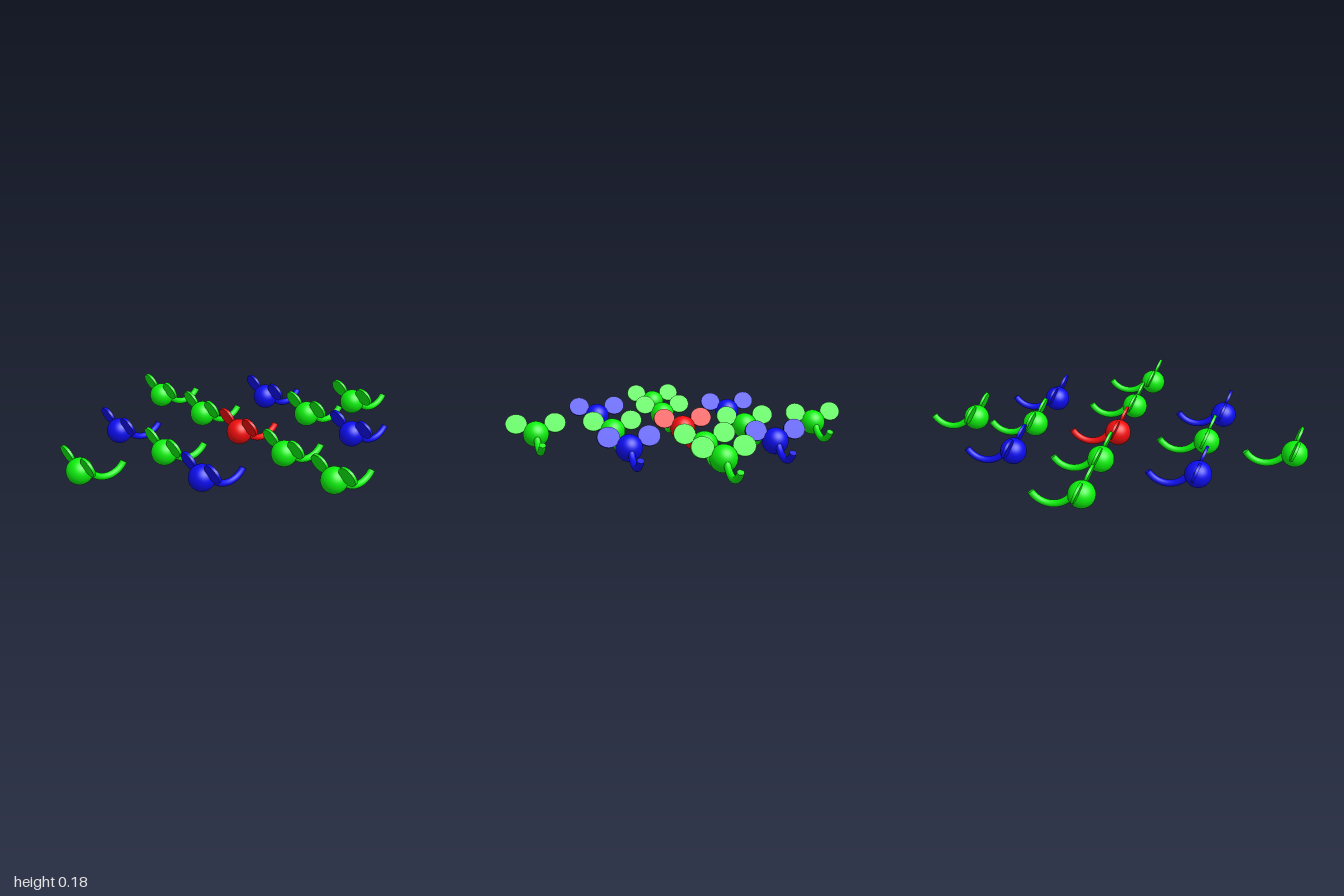
import * as THREE from 'three';

const R = 0.065;

// Tail centreline: circular arc dipping to the ground and curling up at the tip
class TailArc extends THREE.Curve {
  getPoint(t, target = new THREE.Vector3()) {
    const a = (t * 2 - 1) * 1.0;
    return target.set(0.145 + 0.113 * Math.sin(a), 0.13 - 0.08 - 0.113 * Math.cos(a), -0.005 * t);
  }
}

export function createModel() {
  const model = new THREE.Group();
  model.name = 'creatureFormation';

  const green = new THREE.MeshStandardMaterial({ color: 0x0cf00c });
  const blue = new THREE.MeshStandardMaterial({ color: 0x0c0cf0 });
  const red = new THREE.MeshStandardMaterial({ color: 0xf00c0c });

  // Shared geometries
  const curve = new TailArc();
  const bodyGeo = new THREE.SphereGeometry(R, 32, 20);
  const earGeo = new THREE.CylinderGeometry(0.054, 0.054, 0.014, 32);
  const tailGeo = new THREE.TubeGeometry(curve, 24, 0.017, 14);
  const capGeo = new THREE.CircleGeometry(0.017, 14);

  function creature(material) {
    const g = new THREE.Group();
    const add = (geo, name) => {
      const m = new THREE.Mesh(geo, material);
      m.name = name;
      g.add(m);
      return m;
    };
    add(bodyGeo, 'body');
    // Thin round ears on both sides, leaning back
    for (const s of [1, -1]) {
      const ear = add(earGeo, s > 0 ? 'frontEar' : 'rearEar');
      ear.position.set(-0.006, 0.053, s * 0.097);
      ear.rotation.z = Math.PI / 2 + 0.37;
      ear.scale.x = 0.92;
    }
    add(tailGeo, 'tail');
    // Flat end of the tail
    const cap = add(capGeo, 'tailTip');
    cap.position.copy(curve.getPoint(1));
    cap.lookAt(curve.getPoint(1).add(curve.getTangent(1)));
    return g;
  }

  // Position of each body: x, z, colour
  const layout = [
    [-0.035, -0.018, red],
    [-0.52, -0.398, blue], [0.405, -0.37, blue],
    [-0.52, 0.35, blue], [0.405, 0.35, blue],
    [-0.05, -0.736, green], [-0.035, -0.352, green],
    [-0.035, 0.35, green], [-0.05, 0.736, green],
    [-0.935, -0.055, green], [-0.493, -0.014, green],
    [0.41, -0.014, green], [0.738, -0.014, green],
  ];
  layout.forEach(([x, z, material], i) => {
    const c = creature(material);
    c.name = `creature${i + 1}`;
    c.position.set(x, 0.08, z);
    model.add(c);
  });
  return model;
}
